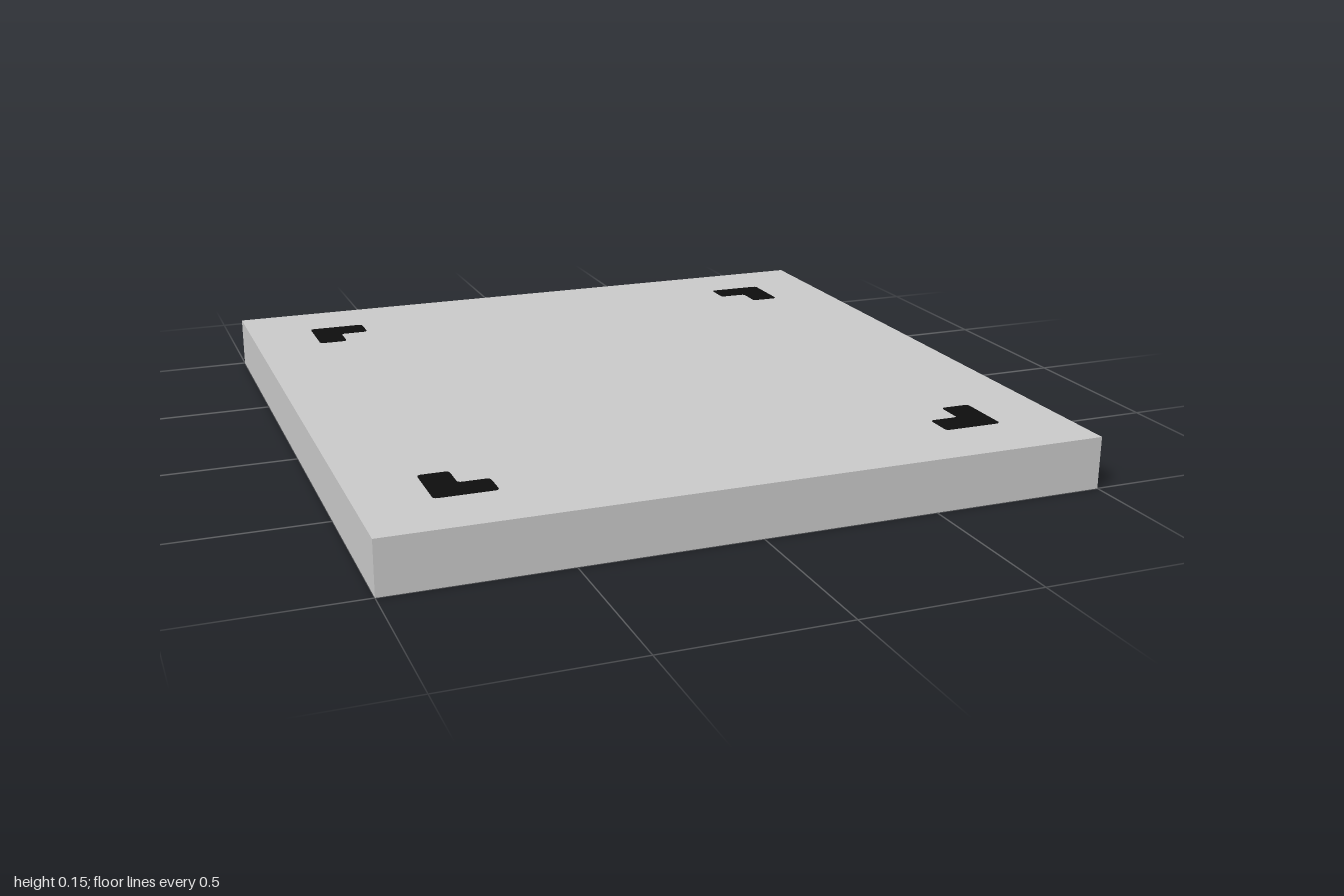
import * as THREE from 'three';

const HEIGHT = 0.15;
const CEILING = 0.141;

// Closed outline with every corner softened by radius r
function roundedShape(corners, r) {
  const pts = corners.map(([x, y]) => new THREE.Vector2(x, y));
  const shape = new THREE.Shape();
  pts.forEach((p, i) => {
    const prev = pts[(i + pts.length - 1) % pts.length];
    const next = pts[(i + 1) % pts.length];
    const a = prev.clone().sub(p).setLength(r).add(p);
    const b = next.clone().sub(p).setLength(r).add(p);
    if (i === 0) shape.moveTo(a.x, a.y);
    else shape.lineTo(a.x, a.y);
    shape.quadraticCurveTo(p.x, p.y, b.x, b.y);
  });
  shape.closePath();
  return shape;
}

export function createModel() {
  const shellGrey = new THREE.MeshStandardMaterial({ color: 0xc9c9c9 });
  shellGrey.name = 'shellGrey';
  const markBlack = new THREE.MeshStandardMaterial({ color: 0x0d0d0d });
  markBlack.name = 'markBlack';

  const model = new THREE.Group();
  model.name = 'squareLid';

  // Hollow square lid: a wall section swept round four sides
  const top = HEIGHT - 0.001;
  const section = [[0, CEILING], [0.9, CEILING], [0.9, 0], [1, 0], [1, top], [0, top]]
    .map(([x, y]) => new THREE.Vector2(x * Math.SQRT2, y));
  const shellGeo = new THREE.LatheGeometry(section, 4, Math.PI / 4).toNonIndexed();
  shellGeo.computeVertexNormals();
  const shell = new THREE.Mesh(shellGeo, shellGrey);
  shell.name = 'lidShell';
  model.add(shell);

  // L-shaped corner mark, flush on top and showing on the underside
  const markShape = roundedShape([
    [0.805, 0.805], [0.635, 0.805], [0.635, 0.72],
    [0.72, 0.72], [0.72, 0.635], [0.805, 0.635],
  ], 0.012);
  const markBottom = CEILING - 0.001;
  const markGeo = new THREE.ExtrudeGeometry(markShape, {
    depth: HEIGHT - markBottom, bevelEnabled: false, curveSegments: 4,
  });
  markGeo.rotateX(-Math.PI / 2).translate(0, markBottom, 0);

  // Small eight-sided peg standing out from an inner wall
  let pegGeo = new THREE.CylinderGeometry(0.045, 0.045, 0.06, 8).toNonIndexed();
  pegGeo.computeVertexNormals();
  pegGeo.rotateZ(Math.PI / 2);

  // Each quarter turn carries one mark and one wall with two pegs
  for (let i = 0; i < 4; i++) {
    const quarter = new THREE.Group();
    quarter.name = `quarter${i + 1}`;
    quarter.rotation.y = i * Math.PI / 2;

    const mark = new THREE.Mesh(markGeo, markBlack);
    mark.name = 'cornerMark';
    quarter.add(mark);

    for (const side of [-1, 1]) {
      const peg = new THREE.Mesh(pegGeo, shellGrey);
      peg.name = 'wallPeg';
      peg.position.set(0.872, 0.067, side * 0.75);
      quarter.add(peg);
    }
    model.add(quarter);
  }
  return model;
}
